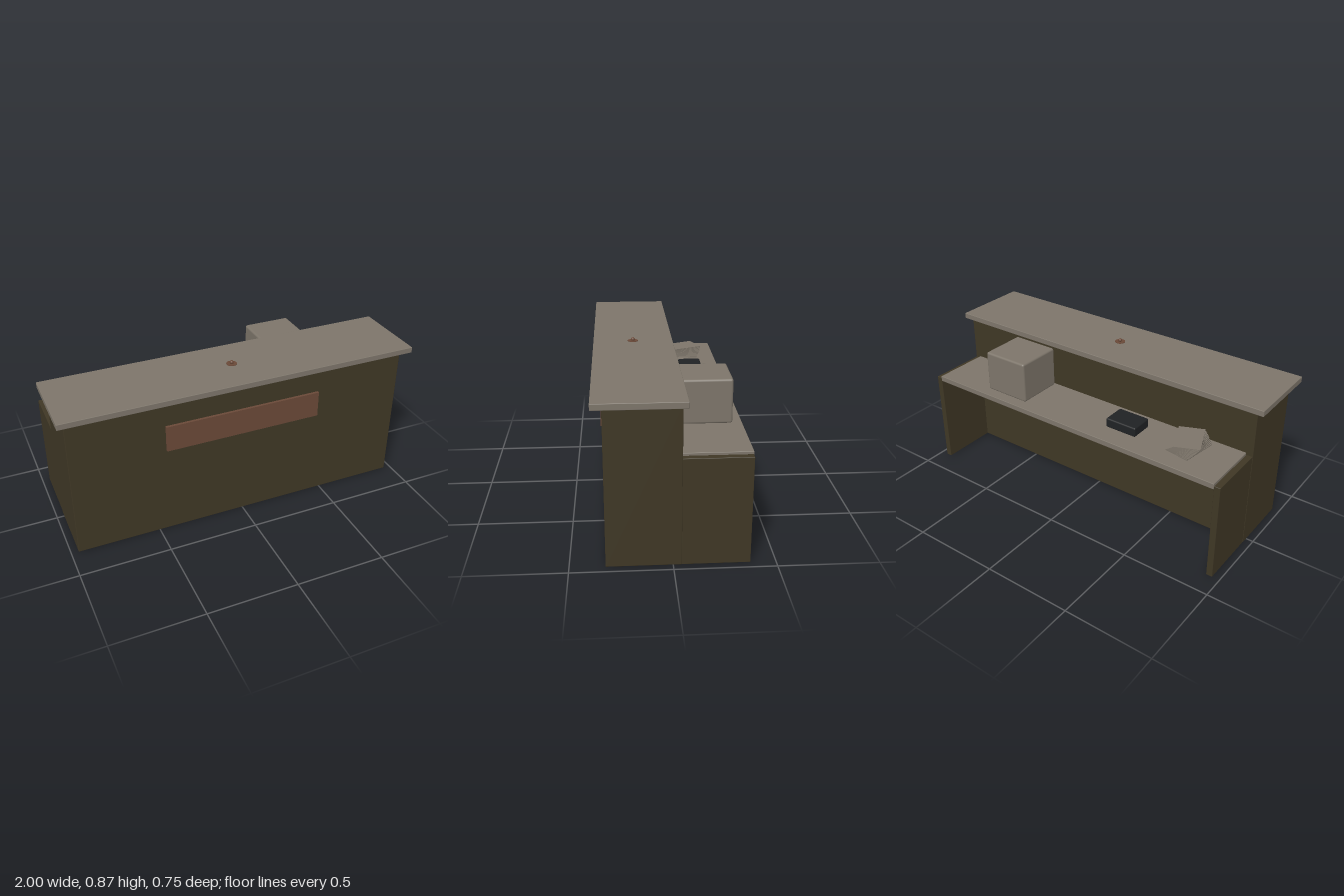
import * as THREE from 'three';
import { RoundedBoxGeometry } from 'three/addons/geometries/RoundedBoxGeometry.js';

const mat = (name, color) => {
  const m = new THREE.MeshStandardMaterial({ color });
  m.name = name;
  return m;
};

export function createModel() {
  const wood = mat('dark wood', 0x3f3725);
  const stone = mat('warm grey', 0x7d756a);
  const copper = mat('copper brown', 0x6a4938);
  const black = mat('black plastic', 0x202224);

  const desk = new THREE.Group();
  desk.name = 'receptionDesk';

  const add = (name, geometry, material, x, y, z, parent = desk) => {
    const mesh = new THREE.Mesh(geometry, material);
    mesh.name = name;
    mesh.position.set(x, y, z);
    parent.add(mesh);
    return mesh;
  };

  // Box given by its limits on each axis, with an optional rounded edge
  const box = (name, material, [x0, x1], [y0, y1], [z0, z1], radius = 0, parent = desk) => {
    const size = [x1 - x0, y1 - y0, z1 - z0];
    const geometry = radius
      ? new RoundedBoxGeometry(...size, 2, radius)
      : new THREE.BoxGeometry(...size);
    return add(name, geometry, material, (x0 + x1) / 2, (y0 + y1) / 2, (z0 + z1) / 2, parent);
  };

  // Counter and its front plaque
  box('counterBody', wood, [-0.96, 0.96], [0, 0.815], [-0.042, 0.325], 0.004);
  box('counterTop', stone, [-1, 1], [0.815, 0.848], [-0.065, 0.377], 0.003);
  box('frontPlaque', copper, [-0.443, 0.443], [0.52, 0.668], [0.32, 0.34]);

  // Lower desk behind the counter
  for (const side of [-1, 1]) {
    const xs = [side * 0.923, side * 0.958].sort((a, b) => a - b);
    box(side > 0 ? 'leftSidePanel' : 'rightSidePanel', wood, xs, [0, 0.557], [-0.375, -0.04], 0.003);
  }
  box('workSurface', stone, [-0.923, 0.923], [0.538, 0.57], [-0.377, -0.042], 0.003);

  // Computer monitor
  const monitor = new THREE.Group();
  monitor.name = 'monitor';
  desk.add(monitor);
  box('monitorCase', stone, [0.305, 0.58], [0.574, 0.808], [-0.325, -0.06], 0.012, monitor);
  box('monitorScreen', black, [0.33, 0.555], [0.602, 0.778], [-0.065, -0.044], 0.006, monitor);
  box('monitorFoot', stone, [0.34, 0.545], [0.57, 0.598], [-0.3, -0.046], 0.004, monitor);

  // Telephone
  box('telephone', black, [-0.39, -0.205], [0.57, 0.624], [-0.26, -0.13], 0.008);

  // Fanned stack of papers
  const papers = new THREE.Group();
  papers.name = 'paperStack';
  desk.add(papers);
  const sheets = 10;
  const sheetGeometry = new THREE.BoxGeometry(0.138, 0.0052, 0.2);
  for (let i = 0; i < sheets; i++) {
    const sheet = add('paper', sheetGeometry, stone, -0.665, 0.573 + i * 0.006, -0.175, papers);
    sheet.rotation.y = -0.15 + (0.55 * i) / (sheets - 1);
  }

  // Service bell
  const bell = new THREE.Group();
  bell.name = 'serviceBell';
  desk.add(bell);
  add('bellPlate', new THREE.CylinderGeometry(0.029, 0.029, 0.003, 12), copper, 0, 0.8525, 0.157, bell);
  add('bellStem', new THREE.CylinderGeometry(0.006, 0.006, 0.012, 8), copper, 0, 0.852, 0.157, bell);
  add('bellKnob', new THREE.SphereGeometry(0.011, 12, 8), copper, 0, 0.86, 0.157, bell);

  return desk;
}
